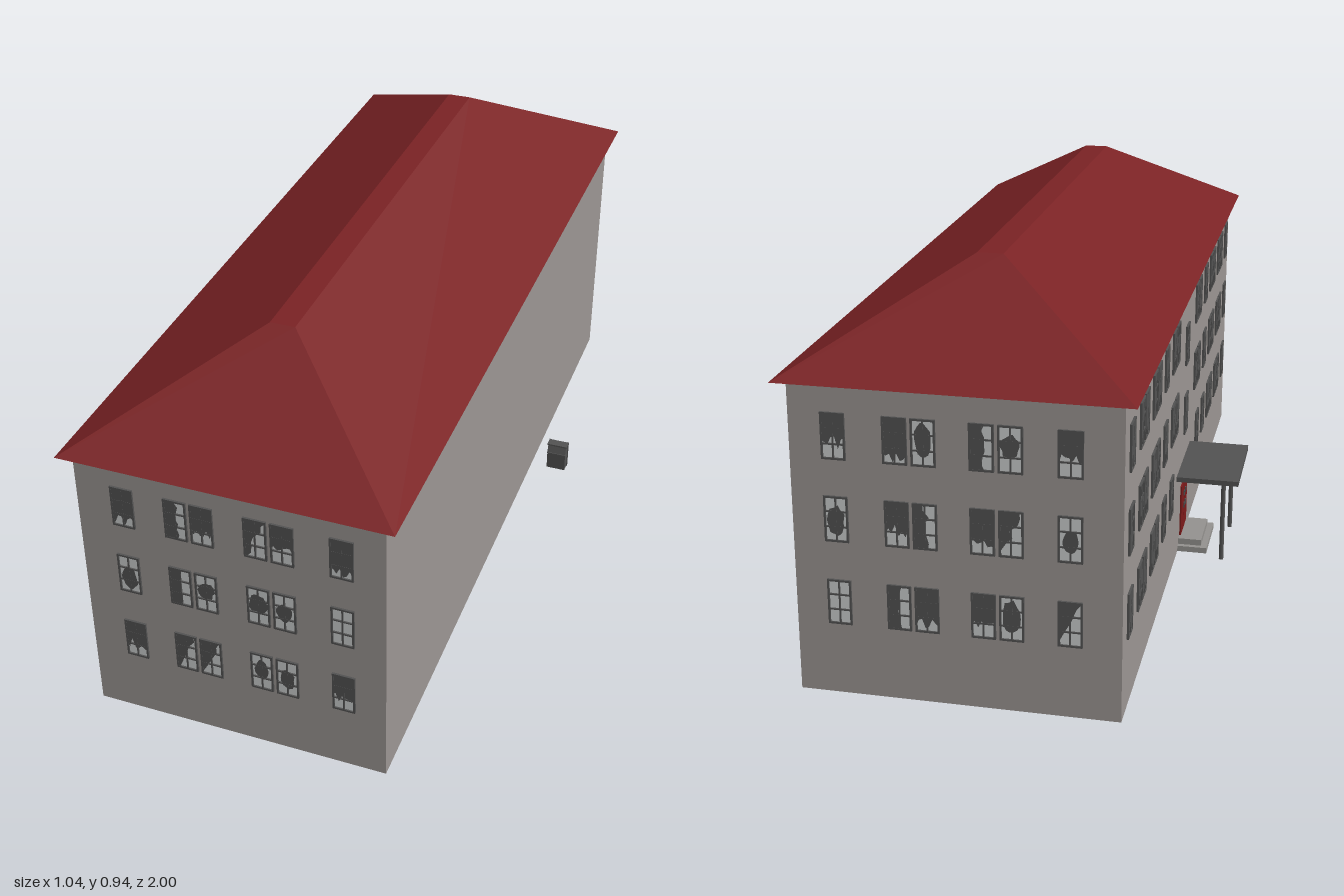
import * as THREE from 'three';
import { mergeGeometries } from 'three/addons/utils/BufferGeometryUtils.js';

const mat = (name, color, extra = {}) => {
  const m = new THREE.MeshStandardMaterial({ color, ...extra });
  m.name = name;
  return m;
};

// Small seeded generator for the jagged glass
function seeded(seed) {
  return () => (seed = (seed * 16807) % 2147483647) / 2147483647;
}

const W = 0.054, H = 0.106, BAR = 0.0045;

// Outline of a broken area: c clean, t top gone, o hole, l left side gone, d diagonal, s shards left at the foot
function brokenShape(kind, rnd) {
  const pts = [], w = W / 2, h = H / 2;
  const jag = (a) => (rnd() - 0.5) * a;
  if (kind === 'o') {
    const n = 14, rx = w * (0.55 + rnd() * 0.3), ry = h * (0.45 + rnd() * 0.3), cy = jag(0.02);
    for (let i = 0; i < n; i++) {
      const a = (i / n) * Math.PI * 2, r = 0.85 + rnd() * 0.3;
      pts.push([Math.cos(a) * rx * r, cy + Math.sin(a) * ry * r]);
    }
  } else if (kind === 'l' || kind === 'd') {
    pts.push([-w, h], [-w, -h]);
    for (let i = 0; i <= 7; i++) {
      const t = i / 7;
      const x = kind === 'l' ? 0.003 : (t - 0.5) * W * 0.8;
      pts.push([x + jag(0.013), -h + t * H]);
    }
  } else {
    const edge = kind === 't' ? -0.014 : -0.033;
    pts.push([w, h], [-w, h]);
    for (let i = 0; i <= 7; i++) pts.push([-w + (i / 7) * W, edge + jag(0.03)]);
  }
  return new THREE.Shape(pts.map(([x, y]) => new THREE.Vector2(
    THREE.MathUtils.clamp(x, -w, w), THREE.MathUtils.clamp(y, -h, h))));
}

// One wall of windows; each entry is [x, y, kind]
function windowWall(name, list, mats, seed) {
  const rnd = seeded(seed), frames = [], panes = [], holes = [];
  for (const [x, y, kind] of list) {
    const bar = (w, h, dx, dy) =>
      frames.push(new THREE.BoxGeometry(w, h, 0.005).translate(x + dx, y + dy, 0.0025));
    for (const s of [-1, 0, 1]) bar(BAR - (s ? 0 : 0.001), H, s * (W - BAR) / 2, 0);
    for (const s of [-1, 1]) bar(W, BAR, 0, s * (H - BAR) / 2);
    for (const s of [-1, 1]) bar(W, BAR - 0.001, 0, s * H / 6);
    panes.push(new THREE.PlaneGeometry(W, H).translate(x, y, 0.0015));
    if (kind !== 'c') holes.push(new THREE.ShapeGeometry(brokenShape(kind, rnd)).translate(x, y, 0.0045));
  }
  const g = new THREE.Group();
  g.name = name;
  for (const [n, geos, m] of [['windowFrames', frames, mats.dark], ['glassPanes', panes, mats.glass], ['brokenGlass', holes, mats.dark]]) {
    const mesh = new THREE.Mesh(mergeGeometries(geos), m);
    mesh.name = n;
    g.add(mesh);
  }
  return g;
}

export function createModel() {
  const root = new THREE.Group();
  root.name = 'building';
  const mats = {
    wall: mat('wallPlaster', 0x9c9693),
    roof: mat('roofRed', 0x7a2224),
    dark: mat('darkMetal', 0x525252, { side: THREE.DoubleSide }),
    glass: mat('paleGlass', 0xcdcfcf),
    step: mat('stepConcrete', 0x94928f),
    door: mat('doorRed', 0x7d1a1a),
  };
  const add = (name, geo, m, parent = root) => {
    const mesh = new THREE.Mesh(geo, m);
    mesh.name = name;
    parent.add(mesh);
    return mesh;
  };
  // Box from its minimum and maximum corners
  const box = (name, a, b, m, parent) => add(name,
    new THREE.BoxGeometry(b[0] - a[0], b[1] - a[1], b[2] - a[2])
      .translate((a[0] + b[0]) / 2, (a[1] + b[1]) / 2, (a[2] + b[2]) / 2), m, parent);

  box('walls', [-0.361, 0, -0.972], [0.361, 0.728, 0.972], mats.wall);

  // Hipped roof: a box whose top is drawn in to the narrow ridge
  const roof = new THREE.BoxGeometry(1, 1, 1).toNonIndexed();
  const p = roof.attributes.position;
  for (let i = 0; i < p.count; i++) {
    const top = p.getY(i) > 0;
    p.setXYZ(i, Math.sign(p.getX(i)) * (top ? 0.03 : 0.389), top ? 0.935 : 0.727,
      Math.sign(p.getZ(i)) * (top ? 0.64 : 1));
  }
  roof.computeVertexNormals();
  add('roof', roof, mats.roof);

  // End walls: three rows of single, pair, pair, single
  const rows = [0.609, 0.419, 0.223];
  const columns = [-0.249, -0.122, -0.06, 0.065, 0.127, 0.262];
  const endWindows = (kinds, sign) => rows.flatMap((y, r) =>
    columns.map((x, c) => [sign * x, y, kinds[r][c]]));
  const front = windowWall('frontWindows', endWindows(['sltdts', 'oloooc', 'tddoot'], 1), mats, 17);
  front.position.z = 0.972;
  const back = windowWall('backWindows', endWindows(['tolost', 'odslto', 'dotslc'], -1), mats, 91);
  back.rotation.y = Math.PI;
  back.position.z = -0.972;

  // Long wall: mirrored bays, with stair windows at half levels over the door
  const side = [[0, 0.55, 'o'], [0, 0.36, 's']];
  const kinds = 'stdslsotsdts';
  let k = 0;
  rows.forEach((y, r) => {
    for (const s of [-1, 1]) {
      for (const z of [0.89, 0.385]) side.push([s * z, y, kinds[k++ % 12]]);
      for (const z of [0.728, 0.543]) for (const d of [-0.031, 0.031])
        side.push([s * z + d, y, kinds[k++ % 12]]);
      const inner = r === 2 ? [0.253] : [0.191, 0.253];
      for (const z of inner) side.push([s * z, y, kinds[k++ % 12]]);
    }
  });
  const long = windowWall('longWallWindows', side, mats, 53);
  long.rotation.y = -Math.PI / 2;
  long.position.x = -0.361;
  root.add(front, back, long);

  // Entrance with double door, steps and canopy
  const entrance = new THREE.Group();
  entrance.name = 'entrance';
  root.add(entrance);
  for (const s of [-1, 1]) {
    const [z0, z1] = s < 0 ? [-0.055, -0.001] : [0.001, 0.055];
    box('doorLeaf', [-0.365, 0.03, z0], [-0.36, 0.17, z1], mats.door, entrance);
    for (const y of [0.095, 0.13])
      box('doorHandle', [-0.368, y, s * 0.012 - 0.004], [-0.364, y + 0.014, s * 0.012 + 0.004], mats.dark, entrance);
    const pz = s < 0 ? -0.112 : 0.1;
    add('canopyPost', new THREE.CylinderGeometry(0.006, 0.006, 0.22, 10).translate(-0.48, 0.11, pz), mats.dark, entrance);
  }
  box('lowerStep', [-0.438, 0, -0.088], [-0.36, 0.015, 0.08], mats.step, entrance);
  box('upperStep', [-0.422, 0.015, -0.075], [-0.36, 0.031, 0.067], mats.step, entrance);
  box('canopy', [-0.52, 0.219, -0.14], [-0.36, 0.232, 0.126], mats.dark, entrance);

  // Small letter box standing off the plain wall
  const letter = new THREE.Group();
  letter.name = 'letterBox';
  letter.position.set(0.491, 0.213, -0.004);
  root.add(letter);
  const profile = new THREE.Shape([[-0.012, 0], [0.01, 0], [0.012, 0.05], [0.006, 0.07], [-0.012, 0.072]]
    .map(([x, y]) => new THREE.Vector2(x, y)));
  const body = new THREE.ExtrudeGeometry(profile, { depth: 0.048, bevelEnabled: false });
  add('letterBoxBody', body.translate(0, 0, -0.024).rotateY(-Math.PI / 2), mats.dark, letter);
  box('letterBoxLid', [-0.026, 0.07, -0.014], [0.026, 0.074, 0.009], mats.dark, letter);
  box('letterBoxFlap', [-0.025, 0.047, 0.01], [0.025, 0.05, 0.014], mats.dark, letter);
  for (const s of [-1, 1])
    box('letterBoxBackEdge', [s * 0.0235 - 0.0025, 0, -0.015], [s * 0.0235 + 0.0025, 0.074, -0.011], mats.dark, letter);
  return root;
}
